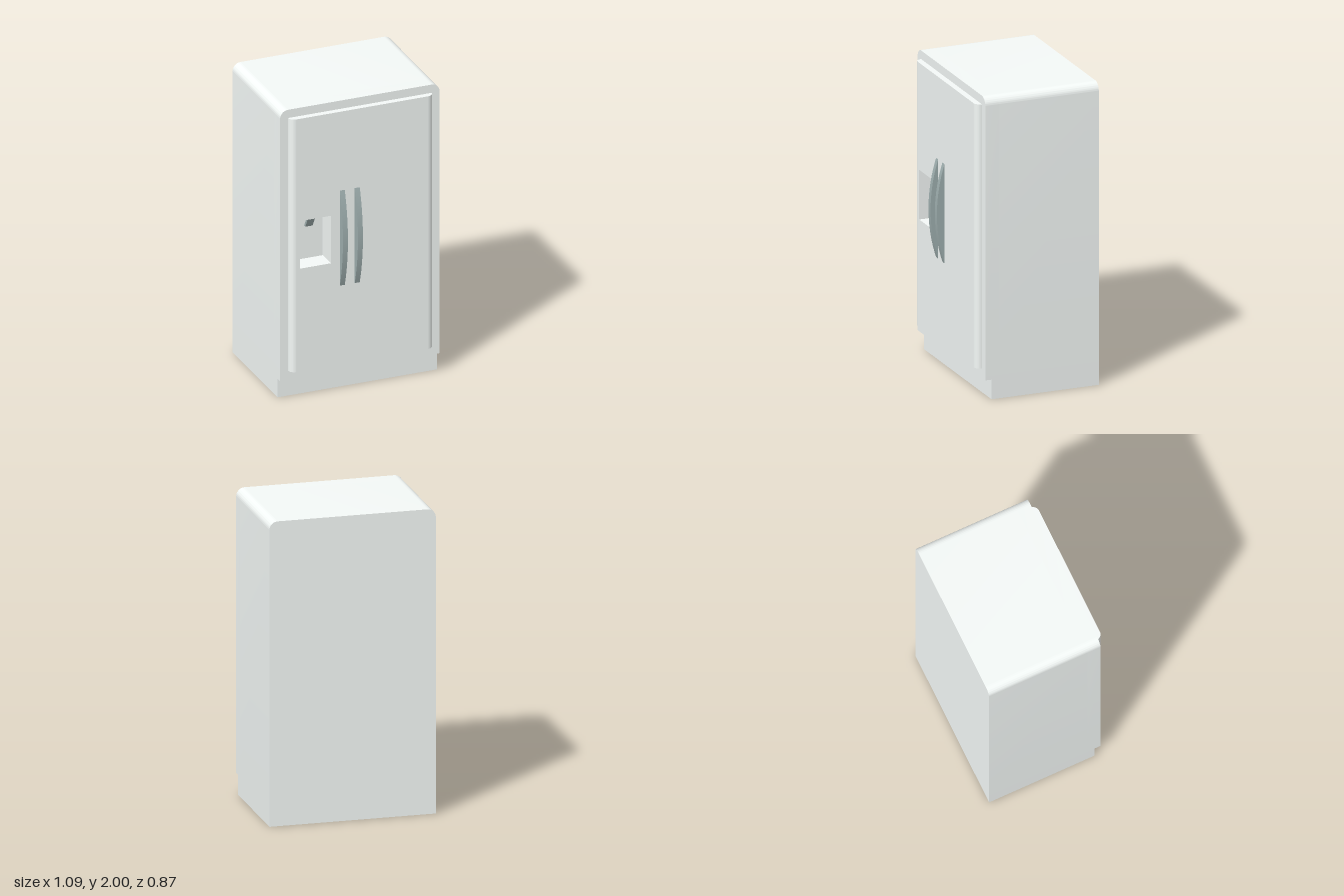
import * as THREE from 'three';
import { toCreasedNormals } from 'three/addons/utils/BufferGeometryUtils.js';

const HALF_W = 0.543, BACK = -0.433, FRONT = 0.342, DOOR_FRONT = 0.382;
const RECESS_BACK = 0.25, KICK_TOP = 0.13;

const shell = new THREE.MeshStandardMaterial({ color: 0xf4f9f7 });
const trim = new THREE.MeshStandardMaterial({ color: 0x9eaeae });

function extrude(shape, depth) {
  const geo = new THREE.ExtrudeGeometry(shape, { depth, bevelEnabled: false, curveSegments: 16 });
  return toCreasedNormals(geo, 0.5);
}

function rectangle(path, x0, x1, y0, y1) {
  path.moveTo(x0, y0);
  path.lineTo(x1, y0);
  path.lineTo(x1, y1);
  path.lineTo(x0, y1);
  path.closePath();
  return path;
}

// Opening of the dispenser, shared by the cabinet front and the door
const recessHole = () => rectangle(new THREE.Path(), -0.423, -0.214, 0.905, 1.234);

// Cabinet outline with rounded top corners
function cabinetShape() {
  const r = 0.055, s = new THREE.Shape();
  s.moveTo(-HALF_W, KICK_TOP);
  s.lineTo(HALF_W, KICK_TOP);
  s.absarc(HALF_W - r, 2 - r, r, 0, Math.PI / 2);
  s.absarc(-HALF_W + r, 2 - r, r, Math.PI / 2, Math.PI);
  s.closePath();
  return s;
}

// Side profile drawn as (z, y), extruded along x and centred on the given x
function sideProfile(shape, width, x) {
  return extrude(shape, width).translate(0, 0, -width / 2).rotateY(-Math.PI / 2).translate(x, 0, 0);
}

export function createModel() {
  const group = new THREE.Group();
  const add = (name, geo, mat = shell) => {
    const mesh = new THREE.Mesh(geo, mat);
    mesh.name = name;
    group.add(mesh);
  };

  // Cabinet: solid rear and a front part pierced by the dispenser recess
  add('cabinetRear', extrude(cabinetShape(), RECESS_BACK - BACK).translate(0, 0, BACK));
  const frontShape = cabinetShape();
  frontShape.holes.push(recessHole());
  add('cabinetFront', extrude(frontShape, FRONT - RECESS_BACK).translate(0, 0, RECESS_BACK));

  // Set-back base
  const kickDepth = 0.3 - BACK;
  add('toeKick', new THREE.BoxGeometry(HALF_W * 2, KICK_TOP, kickDepth)
    .translate(0, KICK_TOP / 2, BACK + kickDepth / 2));

  // Door panel with the dispenser opening
  const doorBottom = 0.193, doorTop = 1.943, edge = DOOR_FRONT - FRONT, flat = 0.488 - edge;
  const doorShape = rectangle(new THREE.Shape(), -flat, flat, doorBottom, doorTop);
  doorShape.holes.push(recessHole());
  add('doorPanel', extrude(doorShape, edge).translate(0, 0, FRONT));

  // Rounded vertical door edges, each a full quarter round
  for (const side of [1, -1]) {
    const start = side > 0 ? 0 : Math.PI / 2;
    const s = new THREE.Shape();
    s.absarc(side * flat, FRONT, edge, start, start + Math.PI / 2);
    s.lineTo(side * flat, FRONT);
    s.closePath();
    add(side > 0 ? 'leftDoorEdge' : 'rightDoorEdge',
      extrude(s, doorTop - doorBottom).rotateX(Math.PI / 2).translate(0, doorTop, 0));
  }

  // Bowed handles
  const half = 0.329, bow = 0.052, midY = 1.068;
  const radius = (half * half + bow * bow) / (2 * bow);
  const angle = Math.asin(half / radius);
  const handle = new THREE.Shape();
  handle.absarc(DOOR_FRONT + bow - radius, midY, radius, -angle, angle);
  handle.closePath();
  add('rightHandle', sideProfile(handle, 0.034, -0.136), trim);
  add('leftHandle', sideProfile(handle, 0.034, -0.034), trim);

  // Dispenser lever, sloping back as it drops from the recess ceiling
  const lever = new THREE.Shape();
  lever.moveTo(0.315, 1.234);
  lever.lineTo(0.26, 1.138);
  lever.lineTo(0.28, 1.138);
  lever.lineTo(0.335, 1.234);
  lever.closePath();
  add('dispenserLever', sideProfile(lever, 0.05, -0.32), trim);

  return group;
}
